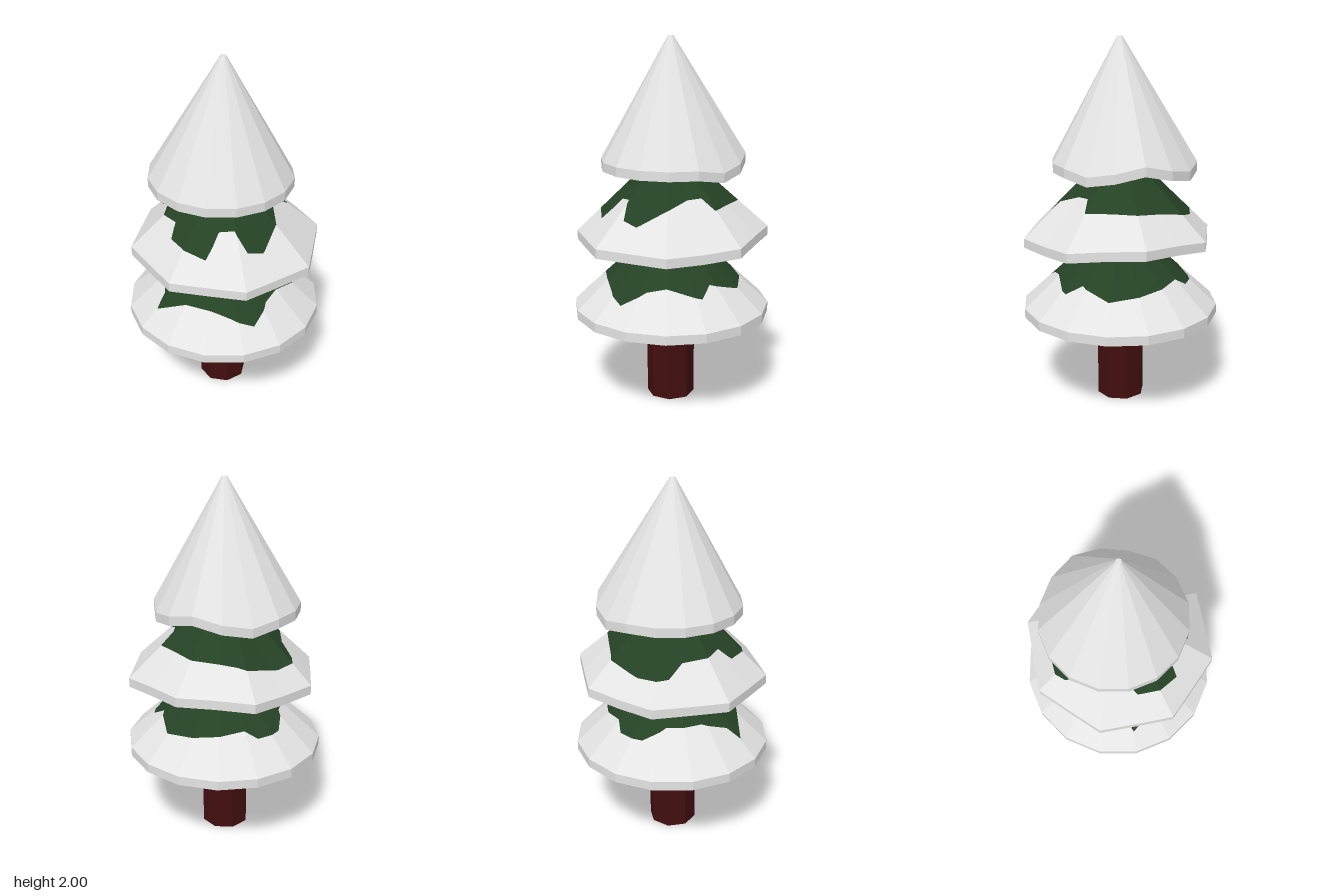
import * as THREE from 'three';

const TAU = Math.PI * 2;
const SIDES = 16;
const wrap = (a) => ((a % TAU) + TAU) % TAU;
const back = (a) => Math.max(0, -Math.cos(a));

const mat = (name, color) => {
  const m = new THREE.MeshStandardMaterial({ color });
  m.name = name;
  return m;
};

// Ragged snow edges: [degrees from the front, height]
const LOWER_SNOW = [[0, 0.71], [23, 0.71], [40, 0.68], [56, 0.64], [73, 0.71], [90, 0.73], [118, 0.68], [130, 0.73],
  [156, 0.68], [224, 0.73], [234, 0.69], [256, 0.69], [275, 0.75], [310, 0.75], [333, 0.7], [338, 0.64]];
const MIDDLE_SNOW = [[0, 1.08], [20, 1.05], [29, 1.16], [45, 1.17], [53, 1.08], [66, 1.06], [90, 1.14], [112, 1.18],
  [128, 1.18], [134, 1.12], [216, 1.09], [253, 1.05], [278, 1.06], [290, 1.12], [335, 1.14], [343, 1.08]];

// Rim corners: a 16-sided ring, with shallower odd corners, an offset centre and a lifted hem
function rimCorners({ radius, inset, cx, cz, lift }) {
  return Array.from({ length: SIDES }, (_, i) => {
    const a = (i / SIDES) * TAU;
    const r = radius - (i % 2) * inset;
    const x = cx + r * Math.sin(a), z = cz + r * Math.cos(a);
    return { x, z, lift: lift(a), a: wrap(Math.atan2(x, z)) };
  }).sort((p, q) => p.a - q.a);
}

// The two list entries on either side of an angle
function bracket(list, a) {
  const i = Math.max(0, list.findIndex((e) => e.a > a + 1e-7));
  return [list[(i + list.length - 1) % list.length], list[i]];
}

// Point where the ray at angle a meets the rim
function rimPoint(corners, a) {
  const [p, q] = bracket(corners, a);
  const s = Math.sin(a), c = Math.cos(a);
  const dp = p.x * c - p.z * s, dq = q.x * c - q.z * s;
  const t = dp / (dp - dq);
  const mix = (key) => p[key] + (q[key] - p[key]) * t;
  return { x: mix('x'), z: mix('z'), lift: mix('lift') };
}

function snowHeight(edge, a) {
  const [p, q] = bracket(edge, a);
  return p.y + (q.y - p.y) * wrap(a - p.a) / wrap(q.a - p.a);
}

// Skins neighbouring rings, ordered from below to above, with flat facets
function skin(rings) {
  const pos = [];
  for (let k = 0; k + 1 < rings.length; k++) {
    const lo = rings[k], hi = rings[k + 1];
    for (let i = 0; i < lo.length; i++) {
      const j = (i + 1) % lo.length;
      pos.push(...lo[i], ...lo[j], ...hi[j], ...lo[i], ...hi[j], ...hi[i]);
    }
  }
  const g = new THREE.BufferGeometry();
  g.setAttribute('position', new THREE.Float32BufferAttribute(pos, 3));
  g.computeVertexNormals();
  return g;
}

function makeTier(t, snowMat, greenMat) {
  const corners = rimCorners(t);
  const edge = t.snow.map(([d, y]) => ({ a: THREE.MathUtils.degToRad(d), y }));
  const angles = [...corners, ...edge].map((e) => e.a).sort((p, q) => p - q)
    .filter((a, i, all) => i === 0 || a - all[i - 1] > 1e-4);
  const rim = angles.map((a) => rimPoint(corners, a));
  const ring = (scale, y) => rim.map((p) => [p.x * scale, y + p.lift * scale, p.z * scale]);
  const centre = (y) => rim.map(() => [0, y, 0]);
  const shoulderY = t.base + 0.05;
  const bottom = ring(1, t.base), shoulder = ring(1, shoulderY), tip = ring(t.neck, t.top);
  const group = new THREE.Group();
  group.name = t.name;
  const add = (name, rings, m) => {
    const mesh = new THREE.Mesh(skin(rings), m);
    mesh.name = name;
    group.add(mesh);
  };

  // Underside, dished around the neck of the tier below
  const dishY = t.base + t.dish;
  add('underside', [centre(dishY), ring(0.27, dishY), bottom], greenMat);

  if (edge.length) {
    // Snow up to its ragged edge, bare green above
    const ragged = shoulder.map((low, i) => {
      const f = (snowHeight(edge, angles[i]) - shoulderY) / (t.top - shoulderY);
      return low.map((v, k) => v + (tip[i][k] - v) * f);
    });
    add('snow', [bottom, shoulder, ragged], snowMat);
    add('foliage', [ragged, tip, ring(t.neck, t.top + 0.08)], greenMat);
  } else {
    add('snowCap', [bottom, shoulder, tip, centre(t.top)], snowMat);
  }
  return group;
}

export function createModel() {
  const model = new THREE.Group();
  model.name = 'snowyTree';
  const snow = mat('snow', 0xe4e4e4);
  const green = mat('pineGreen', 0x254225);
  const bark = mat('bark', 0x420e0e);

  // Eight-sided trunk
  const trunkShape = new THREE.CylinderGeometry(0.132, 0.132, 0.51, 8).toNonIndexed();
  trunkShape.computeVertexNormals();
  const trunk = new THREE.Mesh(trunkShape, bark);
  trunk.name = 'trunk';
  trunk.position.set(-0.005, 0.255, 0);
  model.add(trunk);

  // Three stacked tiers
  const tiers = [
    { name: 'lowerTier', base: 0.5, top: 0.92, neck: 0.26, dish: 0, radius: 0.537, inset: 0, cx: 0, cz: -0.004,
      lift: () => 0, snow: LOWER_SNOW },
    { name: 'middleTier', base: 0.9, top: 1.32, neck: 0.26, dish: 0.09, radius: 0.521, inset: 0.038, cx: 0.01, cz: -0.008,
      lift: (a) => 0.04 * back(a) ** 3, snow: MIDDLE_SNOW },
    { name: 'upperTier', base: 1.3, top: 2, neck: 0.035, dish: 0.07, radius: 0.39, inset: 0, cx: -0.022, cz: -0.012,
      lift: (a) => 0.035 * back(a) * Math.cos(4 * a), snow: [] },
  ];
  for (const t of tiers) model.add(makeTier(t, snow, green));
  return model;
}
